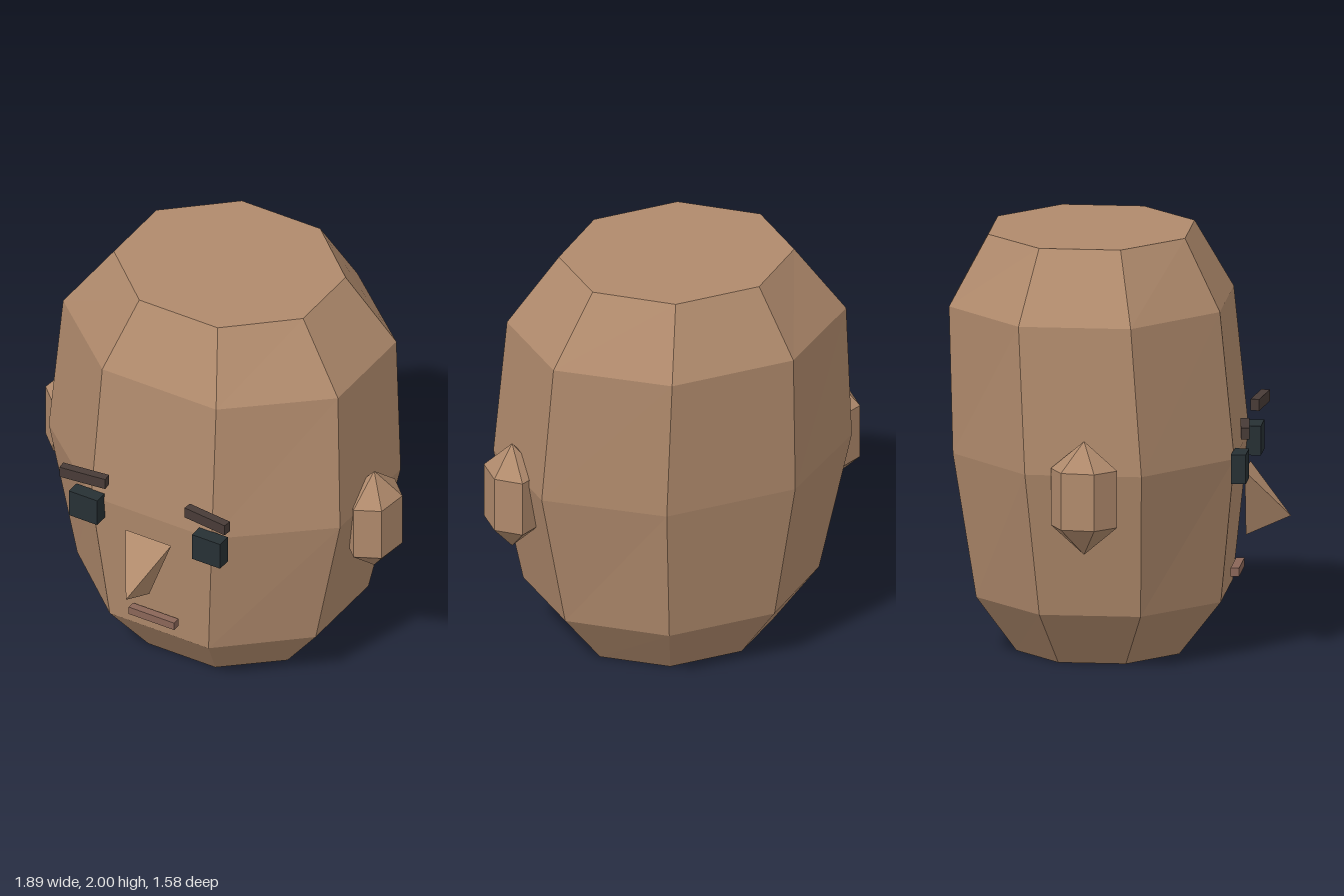
import * as THREE from 'three';

const paint = (color) => new THREE.MeshStandardMaterial({ color, flatShading: true });

// Head outline from bottom to top: [y, half width, half depth, z centre]
const HEAD_RINGS = [
  [0, 0.445, 0.385, -0.1],
  [0.27, 0.655, 0.578, -0.088],
  [0.97, 0.8, 0.665, -0.105],
  [1.67, 0.755, 0.64, -0.15],
  [2, 0.52, 0.465, -0.15],
];

// Eight-sided barrel whose rings are stretched to the head outline
function headGeometry() {
  const r = 1 / Math.cos(Math.PI / 8); // flat sides lie at distance 1
  const rows = HEAD_RINGS.length - 1;
  const geo = new THREE.CylinderGeometry(r, r, rows, 8, rows, false, Math.PI / 8);
  const p = geo.attributes.position;
  for (let i = 0; i < p.count; i++) {
    const [y, w, d, cz] = HEAD_RINGS[Math.round(p.getY(i) + rows / 2)];
    p.setXYZ(i, p.getX(i) * w, y, p.getZ(i) * d + cz);
  }
  geo.computeVertexNormals();
  return geo;
}

// Four-cornered nose: two upper corners, lower corner, tip
function noseGeometry() {
  const a = [-0.125, 0.87, 0.588], b = [0.125, 0.87, 0.588];
  const c = [0, 0.54, 0.58], tip = [0, 0.637, 0.793];
  const faces = [a, tip, b, a, c, tip, b, tip, c, a, b, c];
  const geo = new THREE.BufferGeometry();
  geo.setAttribute('position', new THREE.Float32BufferAttribute(faces.flat(), 3));
  geo.computeVertexNormals();
  return geo;
}

export function createModel() {
  const model = new THREE.Group();
  model.name = 'lowPolyHead';
  const skin = paint(0xb08a6c);
  const eyeColor = paint(0x273034);
  const browColor = paint(0x483b37);
  const lipColor = paint(0x8a6658);

  const add = (name, geo, mat, x = 0, y = 0, z = 0) => {
    const mesh = new THREE.Mesh(geo, mat);
    mesh.name = name;
    mesh.position.set(x, y, z);
    model.add(mesh);
    return mesh;
  };

  add('head', headGeometry(), skin);
  add('nose', noseGeometry(), skin);
  add('mouth', new THREE.BoxGeometry(0.25, 0.04, 0.04), lipColor, 0, 0.385, 0.541);

  // Six-sided ears, turned a little the same way on both sides
  const earGeo = new THREE.SphereGeometry(1, 6, 3, THREE.MathUtils.degToRad(22));
  earGeo.scale(0.148, 0.272, 0.185);
  const eyeGeo = new THREE.BoxGeometry(0.155, 0.14, 0.07);
  const browGeo = new THREE.BoxGeometry(0.237, 0.055, 0.042);

  for (const [side, s] of [['left', 1], ['right', -1]]) {
    add(side + 'Ear', earGeo, skin, s * 0.825, 0.87, -0.098);
    add(side + 'Eye', eyeGeo, eyeColor, s * 0.338, 0.938, 0.588);
    // Brows swing forward at their outer ends
    add(side + 'Brow', browGeo, browColor, s * 0.338, 1.118, 0.612).rotation.y = -s * 0.11;
  }
  return model;
}
